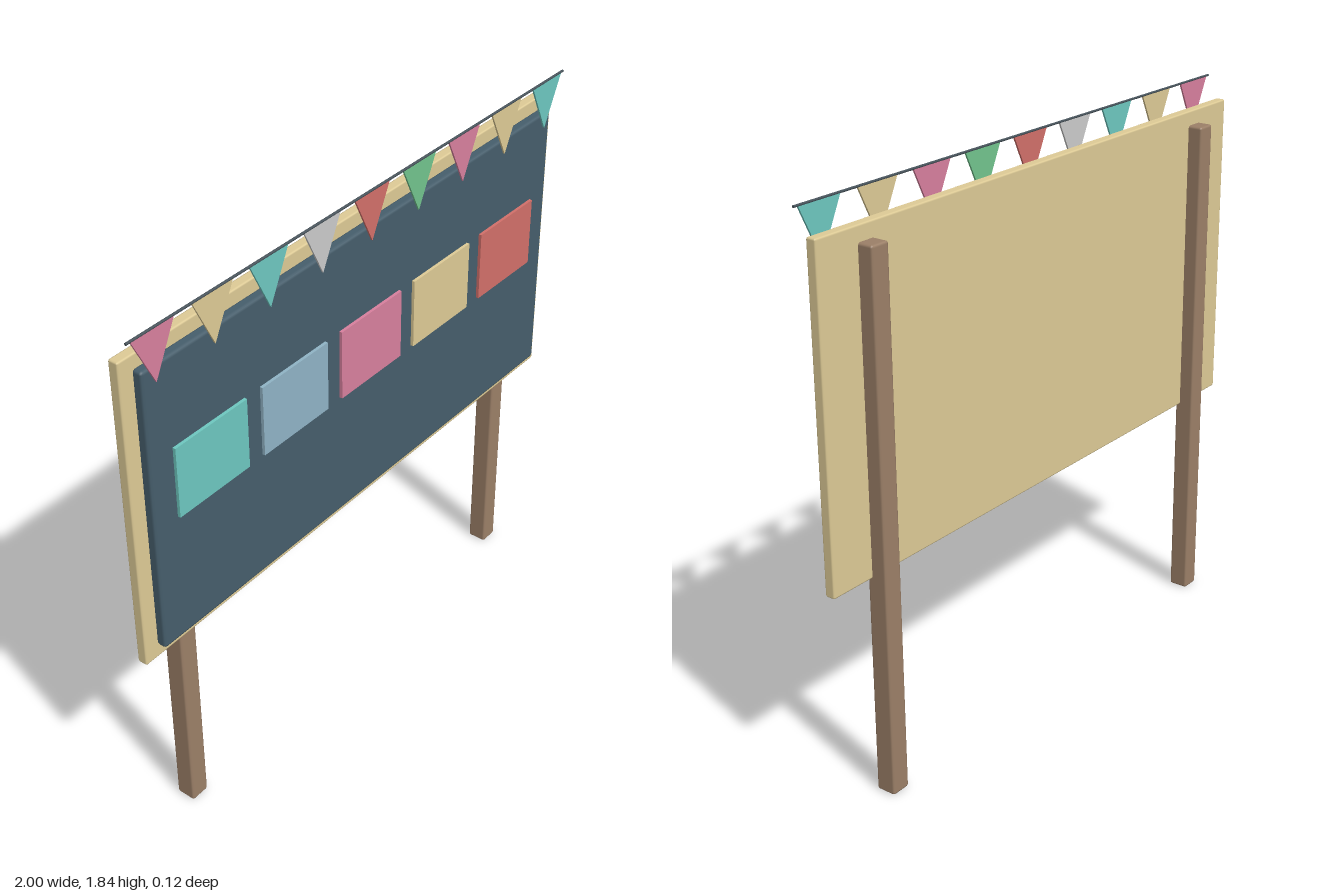
import * as THREE from 'three';
import { RoundedBoxGeometry } from 'three/addons/geometries/RoundedBoxGeometry.js';

const TEAL = 0x6ec8c0, BLUE = 0x90b4c6, PINK = 0xd8809e, CREAM = 0xdecb96;
const RED = 0xd2706a, GREEN = 0x72c48e, WHITE = 0xd6d6d6;
const SLATE = 0x465e6c, WOOD = 0x9c8068, CORD = 0x46525a;

export function createModel() {
  const model = new THREE.Group();

  function add(name, geometry, color, x, y, z, parent = model) {
    const material = new THREE.MeshStandardMaterial({ color });
    const mesh = new THREE.Mesh(geometry, material);
    mesh.name = name;
    mesh.position.set(x, y, z);
    parent.add(mesh);
    return mesh;
  }

  // Two square posts standing behind the board
  for (const side of [-1, 1]) {
    add(side > 0 ? 'leftPost' : 'rightPost',
      new RoundedBoxGeometry(0.067, 1.714, 0.067, 1, 0.008), WOOD, side * 0.808, 0.857, -0.029);
  }

  // Pale backing board and the dark writing surface in front of it
  add('backingBoard', new RoundedBoxGeometry(2, 1.044, 0.034, 1, 0.006), CREAM, 0, 1.241, 0.004);
  add('writingSurface', new RoundedBoxGeometry(1.9, 0.953, 0.036, 1, 0.01), SLATE, 0, 1.242, 0.034);

  // Row of pinned paper cards
  const cards = new THREE.Group();
  cards.name = 'cards';
  model.add(cards);
  [TEAL, BLUE, PINK, CREAM, RED].forEach((color, i) => {
    add('card' + (i + 1), new THREE.BoxGeometry(0.291, 0.235, 0.012), color,
      (i - 2) * 0.357, 1.314, 0.056, cards);
  });

  // Bunting: a straight cord with nine hanging triangular flags
  const bunting = new THREE.Group();
  bunting.name = 'bunting';
  model.add(bunting);
  const cord = add('cord', new THREE.CylinderGeometry(0.004, 0.004, 2, 8), CORD, 0, 1.836, 0.058, bunting);
  cord.rotation.z = Math.PI / 2;

  const triangle = new THREE.Shape([
    new THREE.Vector2(-0.08, 0), new THREE.Vector2(0, -0.163), new THREE.Vector2(0.08, 0),
  ]);
  const flag = new THREE.ExtrudeGeometry(triangle, { depth: 0.006, bevelEnabled: false });
  [PINK, CREAM, TEAL, WHITE, RED, GREEN, PINK, CREAM, TEAL].forEach((color, i) => {
    add('flag' + (i + 1), flag, color, (i - 4) * 0.2265, 1.836, 0.055, bunting);
  });

  return model;
}
